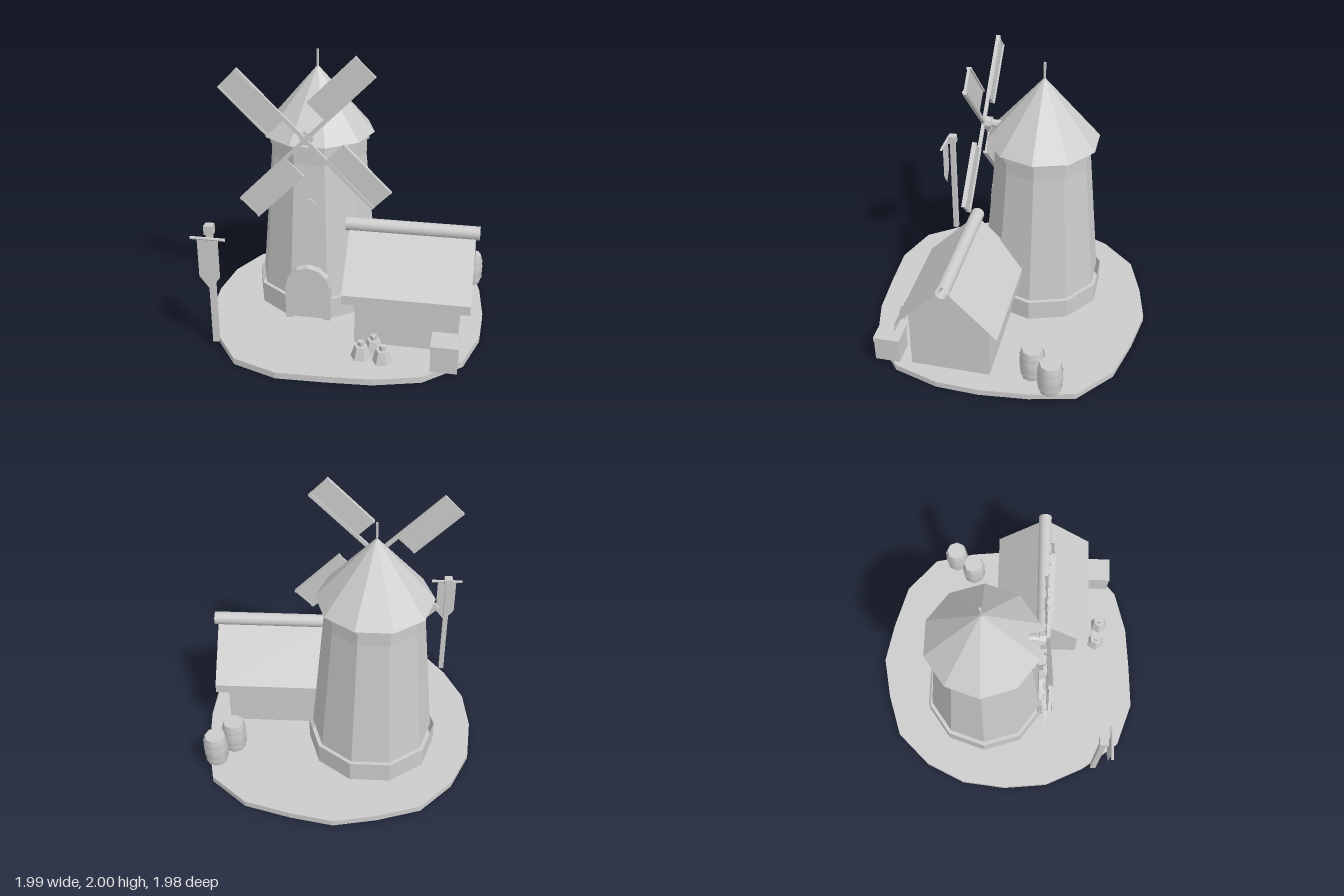
import * as THREE from 'three';

const stone = new THREE.MeshStandardMaterial({ color: 0xcccccc, side: THREE.DoubleSide });
stone.name = 'plainGrey';

const TOWER_X = -0.246, TOWER_Z = -0.162, GROUND = 0.045;

// Faceted mesh: split the faces so every facet has its own normal
function add(parent, name, geometry, x = 0, y = 0, z = 0, smooth = false) {
  let g = geometry;
  if (!smooth) {
    g = g.index ? g.toNonIndexed() : g;
    g.computeVertexNormals();
  }
  const mesh = new THREE.Mesh(g, stone);
  mesh.name = name;
  mesh.position.set(x, y, z);
  parent.add(mesh);
  return mesh;
}

function group(parent, name, x = 0, y = 0, z = 0) {
  const g = new THREE.Group();
  g.name = name;
  g.position.set(x, y, z);
  parent.add(g);
  return g;
}

const box = (w, h, d) => new THREE.BoxGeometry(w, h, d);
const polygon = (pts) => new THREE.Shape(pts.map(([x, y]) => new THREE.Vector2(x, y)));
const extrude = (shape, depth) =>
  new THREE.ExtrudeGeometry(shape, { depth, bevelEnabled: false, curveSegments: 3 });

// Ten-sided drum with a flat face towards the front
function drum(parent, name, rTop, rBottom, y0, y1, open = false) {
  const g = new THREE.CylinderGeometry(rTop, rBottom, y1 - y0, 10, 1, open, Math.PI / 10);
  return add(parent, name, g, 0, (y0 + y1) / 2, 0);
}

// Round-headed outline standing on y = 0
function arch(r, spring, PathType = THREE.Shape) {
  const p = new PathType();
  p.moveTo(-r, 0);
  p.lineTo(r, 0);
  p.lineTo(r, spring);
  p.absarc(0, spring, r, 0, Math.PI, false);
  p.lineTo(-r, 0);
  return p;
}

function buildGround(model) {
  const rim = [[0, -0.995], [-0.3, -0.935], [-0.605, -0.835], [-0.83, -0.6], [-0.963, -0.317],
    [-0.997, 0.003], [-0.963, 0.323], [-0.83, 0.606], [-0.63, 0.878], [-0.318, 0.987],
    [0, 0.975], [0.32, 0.953], [0.635, 0.868], [0.89, 0.645], [0.985, 0.325],
    [0.995, 0.025], [0.96, -0.317], [0.885, -0.632], [0.625, -0.85], [0.3, -0.94]];
  const g = extrude(polygon(rim.map(([x, z]) => [x, -z])), GROUND);
  add(model, 'ground', g.rotateX(-Math.PI / 2));
}

function buildTower(model) {
  const tower = group(model, 'tower', TOWER_X, 0, TOWER_Z);
  drum(tower, 'plinth', 0.465, 0.465, GROUND, 0.2, true);
  drum(tower, 'towerWall', 0.337, 0.437, 0.2, 1.29, true);
  drum(tower, 'upperBand', 0.35, 0.349, 1.19, 1.29, true);
  drum(tower, 'capRing', 0.367, 0.367, 1.29, 1.34);
  drum(tower, 'capRoof', 0, 0.405, 1.34, 1.81);
  add(tower, 'finial', new THREE.CylinderGeometry(0.009, 0.009, 0.14, 6), 0, 1.85, 0);

  // Doorway and window on the front face
  const frame = arch(0.162, 0.25);
  frame.holes.push(arch(0.115, 0.25, THREE.Path));
  add(tower, 'doorFrame', extrude(frame, 0.06), 0, GROUND, 0.405);
  add(tower, 'door', extrude(arch(0.115, 0.25), 0.04), 0, GROUND, 0.405);
  const win = add(tower, 'window', extrude(arch(0.05, 0.115), 0.03), 0, 0.78, 0.35);
  win.rotation.x = -0.087;
}

function buildSails(model) {
  const rotor = group(model, 'sails', TOWER_X, 1.411, 0.271);
  const axle = new THREE.CylinderGeometry(0.03, 0.03, 0.24, 8).rotateX(Math.PI / 2);
  add(rotor, 'axle', axle, 0, 0, -0.12);
  const hub = new THREE.CylinderGeometry(0.047, 0.047, 0.045, 8).rotateX(Math.PI / 2);
  add(rotor, 'hub', hub, 0, 0, -0.038);
  for (let i = 0; i < 4; i++) {
    const sail = group(rotor, 'sail');
    sail.rotation.z = Math.PI / 4 + i * Math.PI / 2;
    add(sail, 'spar', box(0.656, 0.026, 0.024), 0.328, 0, 0);
    add(sail, 'panel', box(0.458, 0.174, 0.012), 0.426, 0.085, 0);
    for (const y of [0.004, 0.168]) add(sail, 'longRail', box(0.458, 0.014, 0.032), 0.426, y, 0);
    add(sail, 'tipRail', box(0.014, 0.176, 0.018), 0.648, 0.087, 0);
  }
}

function buildHouse(model) {
  const house = group(model, 'house', 0, 0, 0.26);
  const gable = polygon([[-0.28, GROUND], [0.28, GROUND], [0.28, 0.523], [0, 0.803], [-0.28, 0.523]]);
  add(house, 'houseWalls', extrude(gable, 0.705).rotateY(Math.PI / 2), 0.134, 0, 0);
  // Thin folded roof: two slopes and two upright eave strips
  const fold = [[0.356, 0.383], [0.356, 0.449], [0, 0.815], [-0.356, 0.449], [-0.356, 0.383]];
  const x0 = 0.056, x1 = 0.918, pos = [];
  for (let i = 0; i < fold.length - 1; i++) {
    const [za, ya] = fold[i], [zb, yb] = fold[i + 1];
    pos.push(x0, ya, za, x1, ya, za, x1, yb, zb, x0, ya, za, x1, yb, zb, x0, yb, zb);
  }
  const roof = new THREE.BufferGeometry();
  roof.setAttribute('position', new THREE.Float32BufferAttribute(pos, 3));
  add(house, 'roof', roof);
  const roll = new THREE.CylinderGeometry(0.048, 0.048, 0.915, 20, 1, true).rotateZ(Math.PI / 2);
  add(house, 'ridgeRoll', roll, 0.487, 0.811, -0.003, true);
}

function buildSignpost(model) {
  const sign = group(model, 'signpost', -0.81, 0, 0.684);
  add(sign, 'post', box(0.038, 0.84, 0.04), 0, 0.465, 0);
  add(sign, 'postCap', box(0.06, 0.065, 0.06), 0, 0.903, 0);
  const bar = new THREE.CylinderGeometry(0.011, 0.011, 0.235, 8, 1, true).rotateZ(Math.PI / 2);
  add(sign, 'bannerBar', bar, 0.005, 0.862, 0.062);
  const cloth = polygon([[-0.072, 0.86], [-0.072, 0.58], [0, 0.485], [0.072, 0.58], [0.072, 0.86]]);
  add(sign, 'banner', new THREE.ShapeGeometry(cloth), 0.004, 0, 0.062);
}

function buildGoods(model) {
  // Barrels behind the house: smooth staves, flat lids and hoops
  const staves = [[0.074, 0], [0.083, 0.045], [0.09, 0.1], [0.09, 0.14], [0.083, 0.195], [0.074, 0.24]];
  for (const [x, z] of [[0.767, -0.305], [0.88, -0.45]]) {
    const barrel = group(model, 'barrel', x, GROUND, z);
    const body = new THREE.LatheGeometry(staves.map(([r, y]) => new THREE.Vector2(r, y)), 8);
    add(barrel, 'staves', body, 0, 0, 0, true);
    const lid = new THREE.CircleGeometry(0.074, 8).rotateX(-Math.PI / 2);
    add(barrel, 'lid', lid, 0, 0.24, 0);
    for (const y of [0.055, 0.185]) {
      const hoop = new THREE.CylinderGeometry(0.089, 0.089, 0.022, 8, 1, true);
      add(barrel, 'hoop', hoop, 0, y, 0, true);
    }
  }
  // Tied sacks and a crate in front of it
  for (const [x, z] of [[0.207, 0.705], [0.357, 0.732], [0.281, 0.62]]) {
    const sack = group(model, 'sack', x, GROUND, z);
    add(sack, 'sackBody', new THREE.CylinderGeometry(0.045, 0.07, 0.088, 6, 1, false, Math.PI / 6), 0, 0.044, 0);
    add(sack, 'sackKnot', new THREE.CylinderGeometry(0.025, 0.022, 0.035, 5), 0, 0.103, 0);
  }
  const crate = group(model, 'crate', 0.768, GROUND, 0.713);
  add(crate, 'crateBox', box(0.178, 0.16, 0.176), 0, 0.08, 0);
  add(crate, 'crateLid', box(0.186, 0.035, 0.186), 0, 0.177, 0);
}

export function createModel() {
  const model = new THREE.Group();
  model.name = 'windmill';
  buildGround(model);
  buildTower(model);
  buildSails(model);
  buildHouse(model);
  buildSignpost(model);
  buildGoods(model);
  return model;
}
